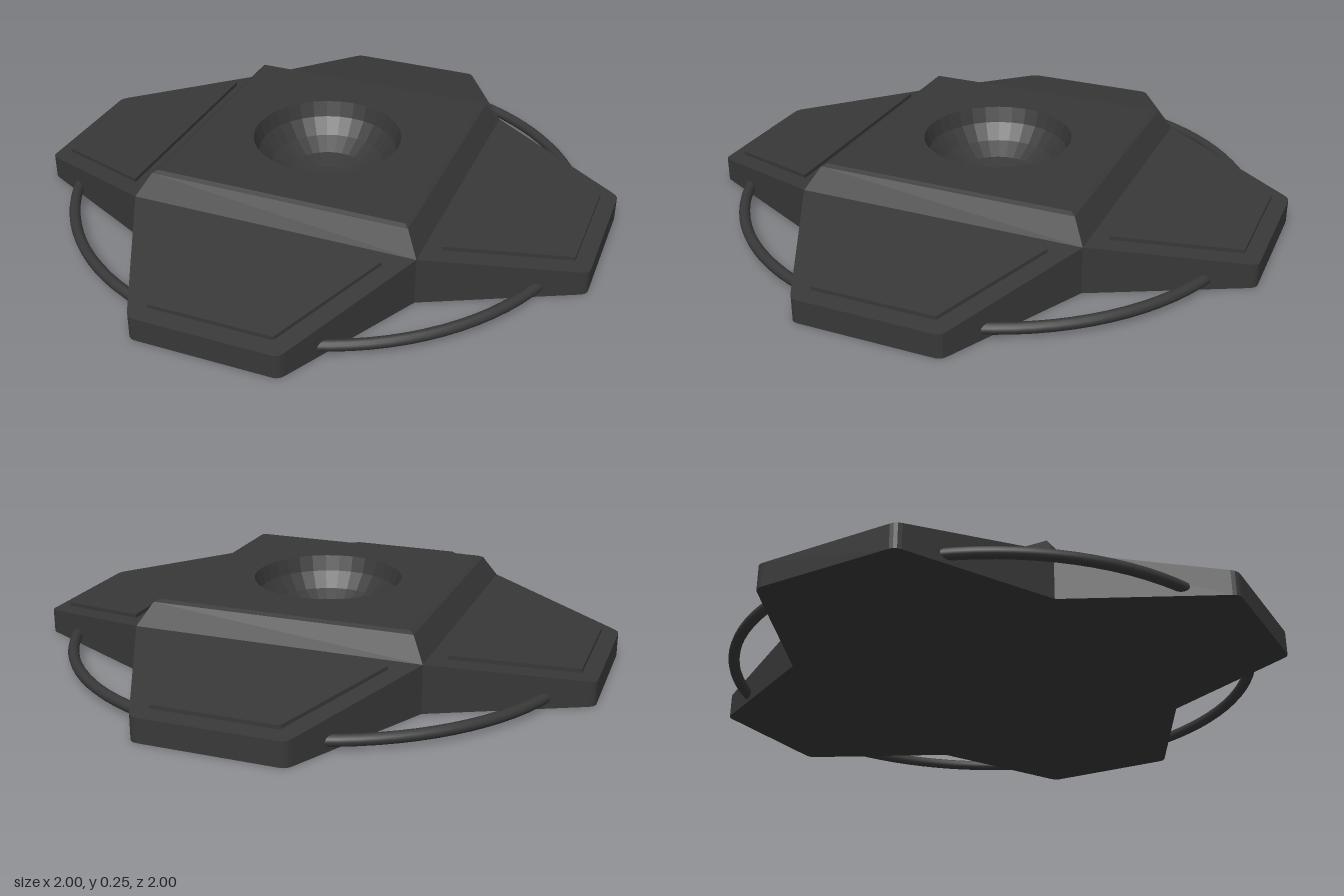
import * as THREE from 'three';

const bodyMat = new THREE.MeshStandardMaterial({ color: 0x383838, flatShading: true });
const ringMat = new THREE.MeshStandardMaterial({ color: 0x383838 });

// Height of the sloping top of an arm at distance d from the centre
const slope = (d) => 0.165 - (d - 0.5) * 0.165;

function named(name, geometry, material = bodyMat) {
  const mesh = new THREE.Mesh(geometry, material);
  mesh.name = name;
  return mesh;
}

// Trapezoid slab pointing to -z, with the outer corners trimmed by c;
// bottom and top give its heights as functions of distance
function slab(near, far, wNear, wFar, c, bottom, top) {
  const shape = new THREE.Shape();
  shape.moveTo(-wNear, near);
  shape.lineTo(wNear, near);
  shape.lineTo(wFar + c / 2, far - c);
  shape.quadraticCurveTo(wFar, far, wFar - c, far);
  shape.lineTo(-wFar + c, far);
  shape.quadraticCurveTo(-wFar, far, -wFar - c / 2, far - c);
  shape.closePath();
  const geo = new THREE.ExtrudeGeometry(shape, { depth: 1, bevelEnabled: false, curveSegments: 3 });
  geo.rotateX(-Math.PI / 2);
  const p = geo.attributes.position;
  for (let i = 0; i < p.count; i++) {
    const d = -p.getZ(i);
    p.setY(i, p.getY(i) > 0.5 ? top(d) : bottom(d));
  }
  geo.computeVertexNormals();
  return geo;
}

export function createModel() {
  const model = new THREE.Group();
  model.name = 'base';

  // Square core with chamfered upper edge, closed underneath
  const profile = [[0, 0], [0.5, 0], [0.5, 0.165], [0.455, 0.242], [0.44, 0.25]];
  const corePoints = profile.map(([h, y]) => new THREE.Vector2(h * Math.SQRT2, y));
  model.add(named('core', new THREE.LatheGeometry(corePoints, 4, Math.PI / 4)));

  // Top face with the round opening
  const top = new THREE.Shape();
  top.moveTo(-0.44, -0.44);
  top.lineTo(0.44, -0.44);
  top.lineTo(0.44, 0.44);
  top.lineTo(-0.44, 0.44);
  top.closePath();
  const hole = new THREE.Path();
  hole.absarc(0, 0, 0.262, 0, Math.PI * 2, true);
  top.holes.push(hole);
  const topGeo = new THREE.ShapeGeometry(top, 16);
  topGeo.rotateX(-Math.PI / 2);
  topGeo.translate(0, 0.25, 0);
  model.add(named('coreTop', topGeo));

  // Faceted bowl sunk into the core
  const bowl = [[0.262, 0.25], [0.245, 0.195], [0.2, 0.14], [0.14, 0.1], [0.07, 0.08], [0, 0.075]];
  const bowlPoints = bowl.map(([r, y]) => new THREE.Vector2(r, y));
  model.add(named('bowl', new THREE.LatheGeometry(bowlPoints, 32)));

  // Four sloping arms, each with a thin raised panel
  const armGeo = slab(0.5, 1, 0.5, 0.25, 0.02, () => 0, slope);
  const panelGeo = slab(0.555, 0.945, 0.405, 0.21, 0.003,
    (d) => slope(d) - 0.005, (d) => slope(d) + 0.013);
  for (let i = 0; i < 4; i++) {
    const arm = new THREE.Group();
    arm.name = 'arm' + (i + 1);
    arm.add(named('armBody', armGeo), named('armPanel', panelGeo));
    arm.rotation.y = i * Math.PI / 2;
    model.add(arm);
  }

  // Round rail linking the arms
  const ring = new THREE.TorusGeometry(0.905, 0.019, 12, 96);
  ring.rotateX(Math.PI / 2);
  ring.translate(0, 0.033, 0);
  model.add(named('ringRail', ring, ringMat));

  return model;
}
